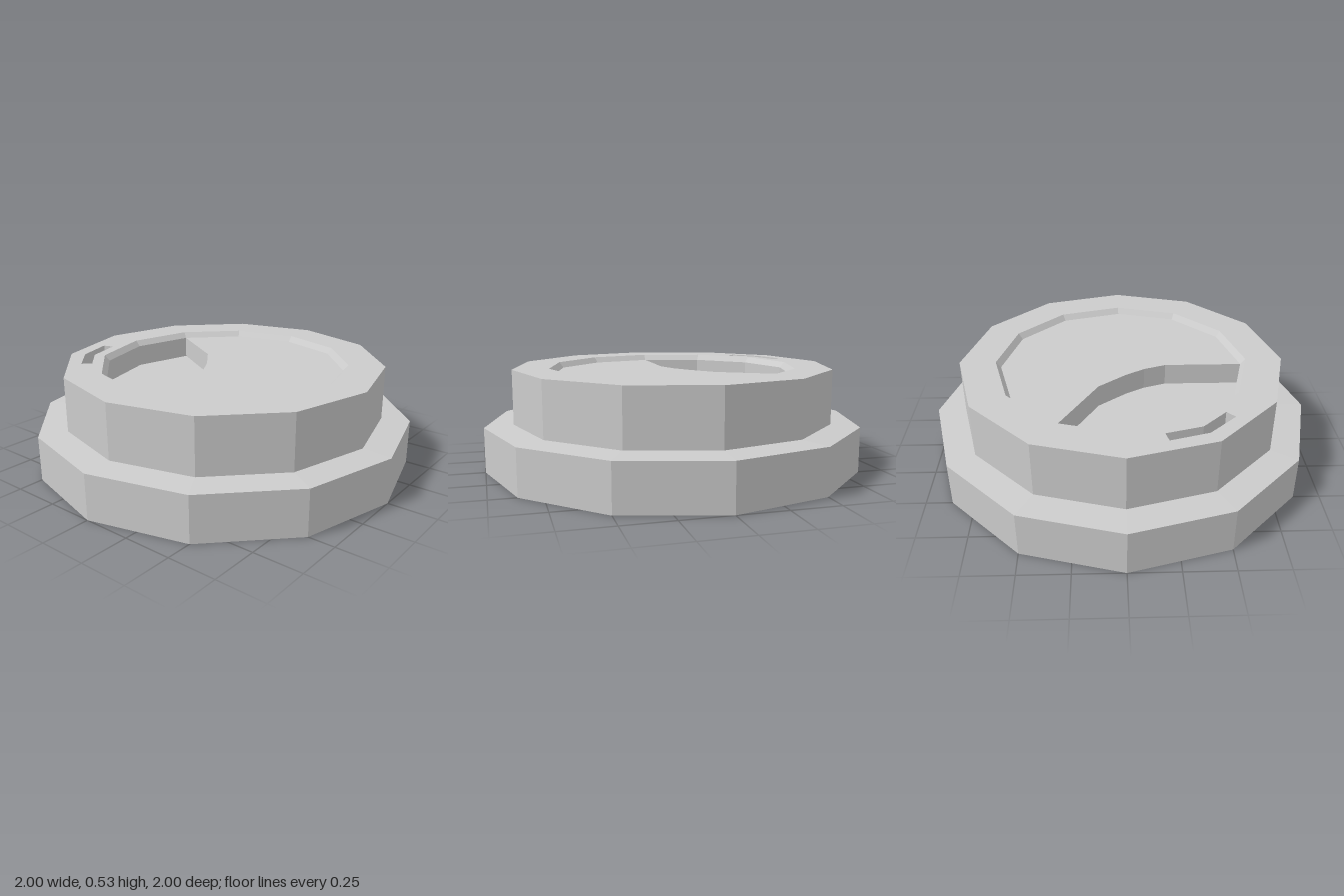
import * as THREE from 'three';

const SIDES = 12;
const FLOOR = 0.385, PLATE = 0.5, TOP = 0.53;

const material = new THREE.MeshStandardMaterial({ color: 0xcccccc, flatShading: true });

function addMesh(group, name, geometry) {
  const mesh = new THREE.Mesh(geometry, material);
  mesh.name = name;
  group.add(mesh);
  return mesh;
}

// Twelve-sided surface of revolution from [radius, height] pairs
function turned(profile) {
  return new THREE.LatheGeometry(profile.map(([r, y]) => new THREE.Vector2(r, y)), SIDES);
}

// Corners of the twelve-sided outline between two angles in degrees
function arc(radius, from, to) {
  const points = [];
  for (let a = from; a <= to; a += 360 / SIDES) {
    const t = THREE.MathUtils.degToRad(a);
    points.push(new THREE.Vector2(radius * Math.cos(t), radius * Math.sin(t)));
  }
  return points;
}

// Plan points given as [x, z]
const plan = (pairs) => pairs.map(([x, z]) => new THREE.Vector2(x, -z));

// Horizontal slab raised from the pocket floor to a given height
function slab(outline, holes, top) {
  const shape = new THREE.Shape(outline);
  holes.forEach((h) => shape.holes.push(new THREE.Path(h)));
  const geometry = new THREE.ExtrudeGeometry(shape, { depth: top - FLOOR, bevelEnabled: false });
  return geometry.rotateX(-Math.PI / 2).translate(0, FLOOR, 0);
}

export function createModel() {
  const lid = new THREE.Group();
  lid.name = 'cupLid';

  // Hollow underside, thin bottom lip, skirt, step and lower part of the raised wall
  addMesh(lid, 'skirtAndUnderside', turned([
    [0, 0.27], [0.76, 0.27], [0.83, 0.21], [0.97, 0.17], [0.98, 0],
    [1, 0], [1, 0.235], [0.85, 0.245], [0.85, FLOOR],
  ]));

  // Raised rim with the bent vent slot
  const slot = plan([
    [-0.725, 0.195], [-0.67, 0.18], [-0.62, 0.36],
    [-0.505, 0.48], [-0.545, 0.52], [-0.67, 0.385],
  ]);
  addMesh(lid, 'rim', slab(arc(0.85, 0, 330), [arc(0.66, 0, 330), slot], TOP));

  // Sloped inner edge of the rim, continuing down as the pocket's outer wall
  addMesh(lid, 'rimInnerEdge', turned([[0.66, TOP], [0.635, PLATE], [0.635, FLOOR]]));

  // Recessed plate, cut away along a curve to leave the drinking pocket
  const cut = plan([[-0.21, -0.12], [-0.1, 0.02], [-0.04, 0.12], [0, 0.235]]);
  addMesh(lid, 'recessedPlate', slab([...arc(0.635, -90, 150), ...cut], [], PLATE));

  // Floor of the pocket and the slot
  const floor = new THREE.CircleGeometry(0.84, SIDES).rotateX(-Math.PI / 2);
  addMesh(lid, 'pocketFloor', floor).position.y = FLOOR;

  return lid;
}
